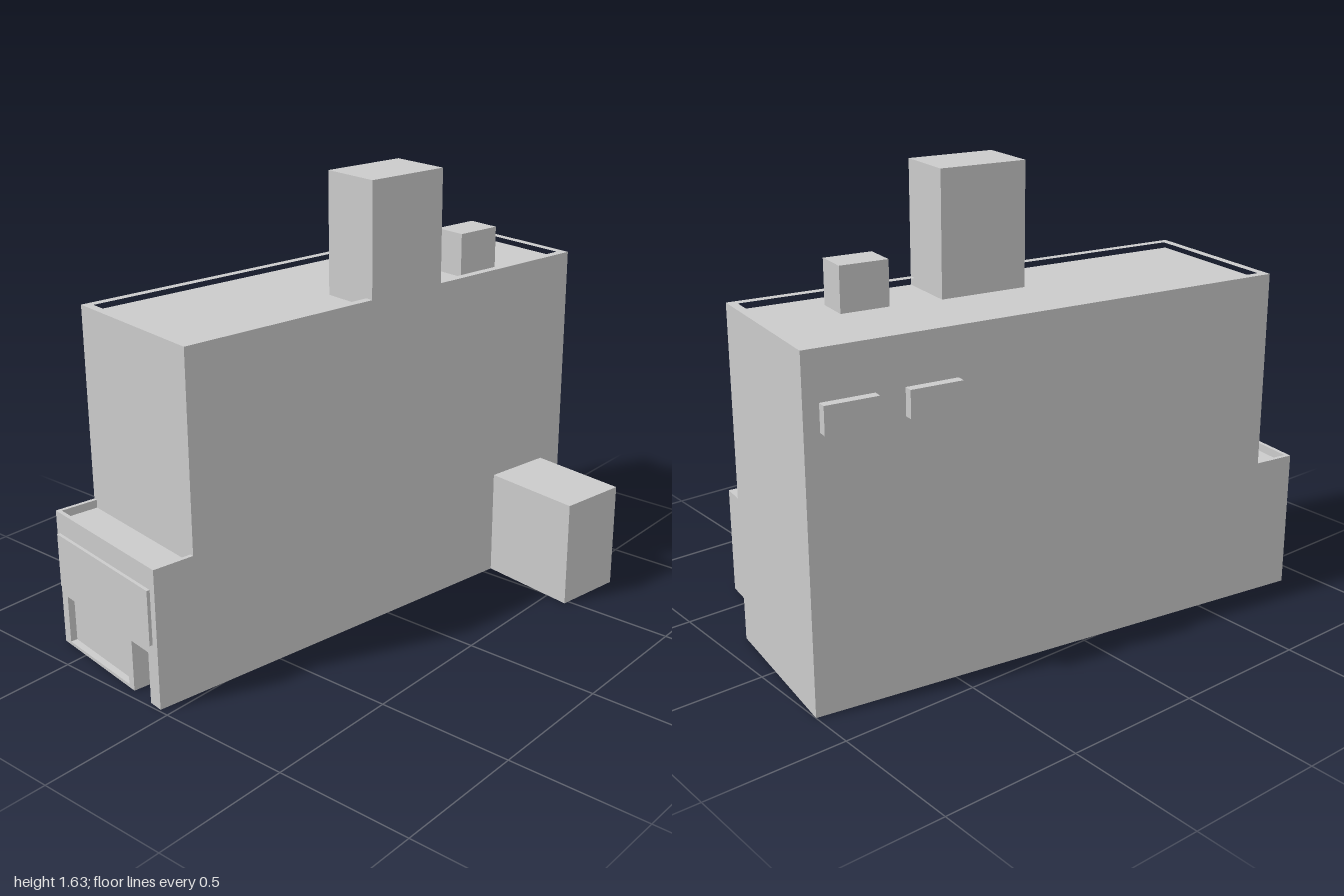
import * as THREE from 'three';

const material = new THREE.MeshStandardMaterial({ color: 0xcccccc, flatShading: true });

// Plan limits in the building's own axes
const X0 = -0.96, X1 = 0.96, Z = 0.3015, STEP = -0.806;

function block(name, x0, x1, y0, y1, z0, z1) {
  const geometry = new THREE.BoxGeometry(x1 - x0, y1 - y0, z1 - z0);
  geometry.translate((x0 + x1) / 2, (y0 + y1) / 2, (z0 + z1) / 2);
  const mesh = new THREE.Mesh(geometry, material);
  mesh.name = name;
  return mesh;
}

// Extrudes a plan outline of [x, z] points from y0 up to y1
function slab(name, outline, y0, y1, hole) {
  const toPoints = (list) => list.map(([x, z]) => new THREE.Vector2(x, -z));
  const shape = new THREE.Shape(toPoints(outline));
  if (hole) shape.holes.push(new THREE.Path(toPoints(hole)));
  const geometry = new THREE.ExtrudeGeometry(shape, { depth: y1 - y0, bevelEnabled: false });
  geometry.rotateX(-Math.PI / 2);
  geometry.translate(0, y0, 0);
  const mesh = new THREE.Mesh(geometry, material);
  mesh.name = name;
  return mesh;
}

const rectangle = (x0, x1, z0, z1) => [[x0, z0], [x1, z0], [x1, z1], [x0, z1]];

export function createModel() {
  const building = new THREE.Group();
  building.name = 'building';

  // Tall main block with its roof parapet
  const rim = 0.03;
  building.add(block('mainBlock', STEP, X1, 0, 1.19, -Z, Z));
  building.add(slab('mainParapet', rectangle(STEP, X1, -Z, Z), 1.19, 1.22,
    rectangle(STEP + rim, X1 - rim, -Z + rim, Z - rim)));

  // Low end block: shop window recess and deep doorway cut from its plan
  const windowX = X0 + 0.025, doorX = X0 + 0.145;
  building.add(slab('shopFront', [
    [X0, -Z], [STEP, -Z], [STEP, Z], [X0, Z],
    [X0, 0.245], [doorX, 0.245], [doorX, 0.145], [X0, 0.145],
    [X0, 0.115], [windowX, 0.115], [windowX, -0.265], [X0, -0.265],
  ], 0, 0.19));
  building.add(block('windowSill', X0, windowX, 0, 0.012, -0.265, 0.115));
  building.add(block('lowBlock', X0, STEP, 0.19, 0.48, -Z, Z));
  const lip = 0.015;
  building.add(slab('lowParapet', [
    [X0, -Z], [STEP, -Z], [STEP, -Z + lip], [X0 + lip, -Z + lip],
    [X0 + lip, Z - lip], [STEP, Z - lip], [STEP, Z], [X0, Z],
  ], 0.48, 0.51));
  building.add(block('signPanel', X0 - 0.012, X0, 0.23, 0.43, -0.283, 0.275));

  // Roof structures
  building.add(block('stairTower', -0.036, 0.287, 1.19, 1.63, 0.075, Z));
  building.add(block('roofVent', 0.476, 0.653, 1.19, 1.35, 0.087, 0.212));

  // Annex on the front wall
  building.add(block('frontAnnex', 0.592, 0.856, 0, 0.4, Z, 0.686));

  // Wall units on the back
  for (const x of [0.434, 0.721]) {
    building.add(block('wallUnit', x, x + 0.185, 0.955, 1.05, -Z - 0.033, -Z));
  }

  // The building stands at a slight angle on its plot
  building.rotation.y = -0.1595;
  building.position.set(0.004, 0, -0.185);

  const model = new THREE.Group();
  model.name = 'model';
  model.add(building);
  return model;
}
